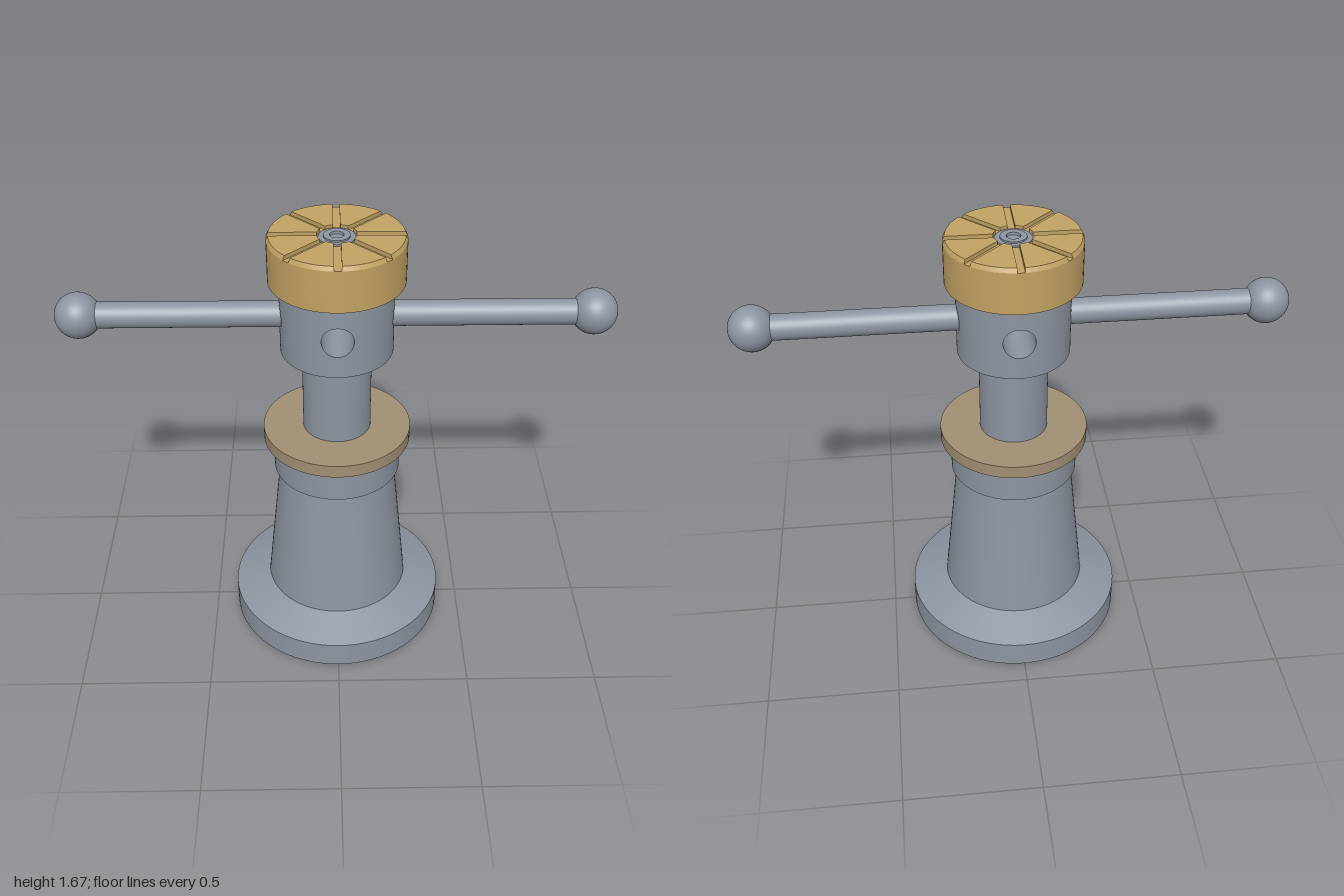
import * as THREE from 'three';
import { toCreasedNormals } from 'three/addons/utils/BufferGeometryUtils.js';
import { ParametricGeometry } from 'three/addons/geometries/ParametricGeometry.js';

const QUARTER = Math.PI / 2;

export function createModel() {
  const model = new THREE.Group();
  model.name = 'screwJack';

  const flat = (name, color) => {
    const m = new THREE.MeshStandardMaterial({ color });
    m.name = name;
    return m;
  };
  const steel = flat('steel grey', 0x8e95a1);
  const brass = flat('brass', 0xc2a263);
  const bronze = flat('dull bronze', 0xa08f72);

  const add = (name, geometry, material) => {
    const mesh = new THREE.Mesh(geometry, material);
    mesh.name = name;
    model.add(mesh);
    return mesh;
  };

  // Turned part with sharp edges; the profile runs up the outside and down the inside
  const turned = (points, start = 0, length = Math.PI * 2, segments = 72) =>
    toCreasedNormals(new THREE.LatheGeometry(
      points.map(([r, y]) => new THREE.Vector2(r, y)), segments, start, length), 0.5);

  // Quarter of a cylinder wall, facing +z, with a round hole in its middle
  const boredWall = (R, half, r) => new ParametricGeometry((u, v, p) => {
    const t = -u * Math.PI * 2, c = Math.cos(t), s = Math.sin(t);
    const k = Math.max(Math.abs(c), Math.abs(s));
    const a = THREE.MathUtils.lerp(Math.asin(r * c / R), c / k * Math.PI / 4, v);
    p.set(R * Math.sin(a), THREE.MathUtils.lerp(r * s, s / k * half, v), R * Math.cos(a));
  }, 64, 8);

  // Wall of the hole, running inward from the cylinder surface
  const boreLining = (R, r, endAt) => new ParametricGeometry((u, v, p) => {
    const x = r * Math.cos(u * Math.PI * 2);
    p.set(x, r * Math.sin(u * Math.PI * 2),
      THREE.MathUtils.lerp(Math.sqrt(R * R - x * x), endAt(x), v));
  }, 64, 2);

  // Hollow body
  add('body', turned([[0.415, 0], [0.415, 0.105], [0.277, 0.155], [0.22, 0.7], [0.24, 0.7]]), steel);
  add('bodyBore', turned([[0.135, 0.835], [0.135, 0.2], [0.313, 0]]), steel);

  // Underside of the foot with four blind bolt holes
  const foot = new THREE.Shape().absarc(0, 0, 0.415, 0, Math.PI * 2);
  foot.holes.push(new THREE.Path().absarc(0, 0, 0.313, 0, Math.PI * 2, true));
  for (let i = 0; i < 4; i++) {
    const a = Math.PI / 4 + i * QUARTER, x = 0.36 * Math.cos(a), z = 0.36 * Math.sin(a);
    foot.holes.push(new THREE.Path().absarc(x, z, 0.034, 0, Math.PI * 2, true));
    add('boltHole', turned([[0, 0.07], [0.034, 0.07], [0.034, 0]], 0, Math.PI * 2, 24), steel)
      .position.set(x, 0, z);
  }
  add('footUnderside', new THREE.ShapeGeometry(foot, 36).rotateX(QUARTER), steel);

  // Collar with a set-screw hole on its left side
  add('collar', turned([[0.24, 0.7], [0.24, 0.835]], QUARTER * 1.5, QUARTER * 3), steel);
  const setScrew = [
    ['collarHolePanel', boredWall(0.24, 0.0675, 0.017)],
    ['setScrewBore', boreLining(0.24, 0.017, () => 0.19)],
    ['setScrewEnd', new THREE.CircleGeometry(0.017, 24).translate(0, 0, 0.19)],
  ];
  for (const [name, geometry] of setScrew)
    add(name, geometry.rotateY(QUARTER).translate(0, 0.7675, 0), steel);

  // Flanged nut and lifting screw
  add('nutFlange', turned([[0.126, 0.835], [0.277, 0.835], [0.277, 0.885], [0.126, 0.885]]), bronze);
  add('screw', turned([[0, 0.45], [0.127, 0.45], [0.127, 1.23]]), steel);

  // Head with two crossing bores
  for (let i = 0; i < 4; i++) {
    add('headWall', boredWall(0.205, 0.14, 0.057).rotateY(i * QUARTER).translate(0, 1.36, 0), steel);
    add('headBore', boreLining(0.205, 0.057, Math.abs).rotateY(i * QUARTER).translate(0, 1.36, 0), steel);
  }
  add('headUnderside', turned([[0.12, 1.22], [0.205, 1.22]]), steel);

  // Handle bar with ball ends
  add('handleBar', new THREE.CylinderGeometry(0.047, 0.047, 1.834, 40)
    .rotateZ(QUARTER).translate(0, 1.36, 0), steel);
  for (const side of [-1, 1])
    add(side > 0 ? 'leftBall' : 'rightBall', new THREE.SphereGeometry(0.083, 40, 28), steel)
      .position.set(side * 0.917, 1.36, 0);

  // Cap, with eight raised pads leaving radial grooves between them
  add('cap', turned([[0, 1.5], [0.243, 1.5], [0.243, 1.655], [0, 1.655]]), brass);
  const inner = 0.07, outer = 0.243, gap = 0.013;
  const i0 = Math.asin(gap / inner), o0 = Math.asin(gap / outer);
  const sector = new THREE.Shape();
  sector.absarc(0, 0, outer, o0, Math.PI / 4 - o0, false);
  sector.absarc(0, 0, inner, Math.PI / 4 - i0, i0, true);
  const pad = new THREE.ExtrudeGeometry(sector, { depth: 0.015, bevelEnabled: false, curveSegments: 12 });
  const pos = pad.attributes.position;
  for (let i = 0; i < pos.count; i++) {
    // Chamfer the outer top edge
    const r = Math.hypot(pos.getX(i), pos.getY(i));
    if (pos.getZ(i) > 0.01 && r > 0.2)
      pos.setXY(i, pos.getX(i) * 0.235 / r, pos.getY(i) * 0.235 / r);
  }
  const padGeometry = toCreasedNormals(pad.rotateX(-QUARTER), 0.5);
  for (let i = 0; i < 8; i++) {
    const mesh = add('capPad', padGeometry, brass);
    mesh.position.y = 1.655;
    mesh.rotation.y = i * Math.PI / 4;
  }

  // Retaining washer and pin in the middle of the cap
  add('centreWasher', turned([[0.065, 1.655], [0.065, 1.661], [0.047, 1.661], [0.047, 1.667],
    [0.025, 1.667], [0.025, 1.657], [0, 1.657]], 0, Math.PI * 2, 40), steel);

  return model;
}
